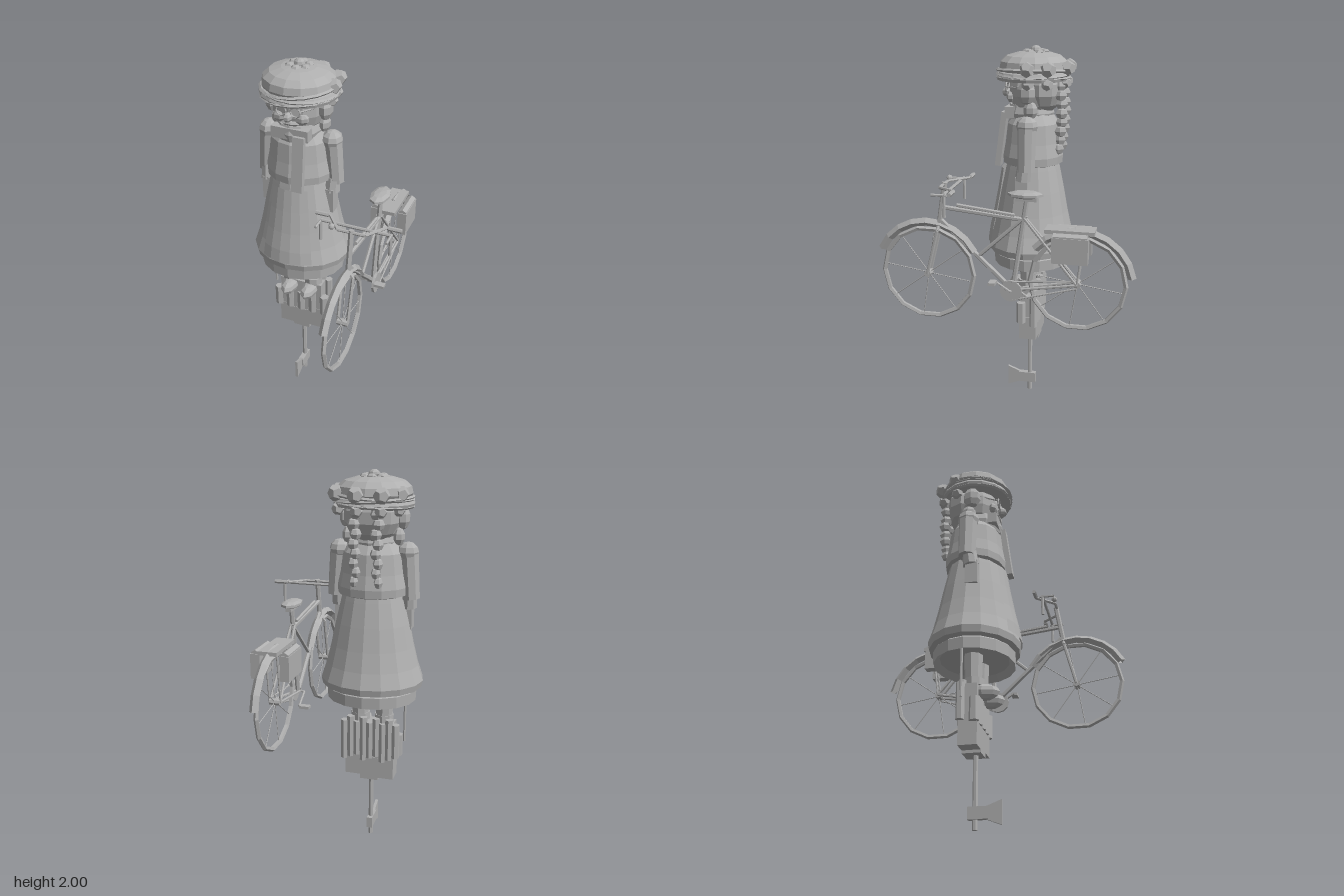
import * as THREE from 'three';

const grey = new THREE.MeshStandardMaterial({ color: 0xb0b0b0, flatShading: true, side: THREE.DoubleSide });
grey.name = 'plain grey';
const V = (p) => new THREE.Vector3(...p);

function add(parent, name, geo, pos = [0, 0, 0], rot = [0, 0, 0], scale = [1, 1, 1]) {
  const m = new THREE.Mesh(geo, grey);
  m.name = name;
  m.position.set(...pos);
  m.rotation.set(...rot);
  m.scale.set(...scale);
  parent.add(m);
  return m;
}
const box = (g, name, size, pos, rot) => add(g, name, new THREE.BoxGeometry(...size), pos, rot);
const ball = (g, name, size, pos, w = 8, h = 6) => add(g, name, new THREE.SphereGeometry(1, w, h), pos, [0, 0, 0], size);

// Straight rod between two points
function rod(g, name, a, b, r0, r1 = r0, sides = 6) {
  const A = V(a), B = V(b), d = B.clone().sub(A);
  const m = add(g, name, new THREE.CylinderGeometry(r1, r0, d.length(), sides), A.clone().add(B).multiplyScalar(0.5).toArray());
  m.quaternion.setFromUnitVectors(new THREE.Vector3(0, 1, 0), d.normalize());
  return m;
}
function rods(g, name, pts, r) {
  for (let i = 1; i < pts.length; i++) rod(g, name, pts[i - 1], pts[i], r);
}
function lathe(g, name, pts, sides = 16, pos = [0, 0, 0], scale = [1, 1, 0.89], start = 0, arc = Math.PI * 2) {
  const geo = new THREE.LatheGeometry(pts.map((p) => new THREE.Vector2(...p)), sides, start, arc);
  return add(g, name, geo, pos, [0, 0, 0], scale);
}

function buildFigure() {
  const g = new THREE.Group();
  g.name = 'figure';
  g.position.set(-0.19, 0, -0.07);

  // Dress and jacket
  lathe(g, 'petticoat', [[0, 0.86], [0.2, 0.86], [0.235, 0.83], [0.238, 0.89], [0.2, 0.92]]);
  lathe(g, 'skirt', [[0.2, 0.9], [0.262, 0.905], [0.27, 0.94], [0.243, 1.02], [0.218, 1.12], [0.193, 1.24], [0.165, 1.36], [0.15, 1.42]]);
  lathe(g, 'apron', [[0.262, 0.95], [0.25, 1.02], [0.225, 1.12], [0.2, 1.24], [0.178, 1.36]], 5, [0, 0, 0.008], [0.95, 1, 0.91], -0.6, 1.2);
  lathe(g, 'jacket', [[0.15, 1.38], [0.18, 1.39], [0.183, 1.43], [0.168, 1.5], [0.155, 1.6], [0.11, 1.66], [0, 1.68]], 14);

  // Legs, boots, arms and hair, mirrored
  for (const s of [-1, 1]) {
    rod(g, 'leg', [s * 0.065, 0.64, 0.01], [s * 0.068, 0.88, 0.01], 0.042, 0.05, 8);
    ball(g, 'boot', [0.045, 0.042, 0.085], [s * 0.06, 0.66, 0.06]);
    rod(g, 'bootCuff', [s * 0.065, 0.69, 0.015], [s * 0.065, 0.73, 0.015], 0.052, 0.052, 8);

    rod(g, 'upperArm', [s * 0.195, 1.37, 0], [s * 0.178, 1.6, 0], 0.046, 0.05, 8);
    ball(g, 'shoulder', [0.055, 0.05, 0.058], [s * 0.175, 1.605, 0]);
    rod(g, 'cuff', [s * 0.182, 1.32, 0.02], [s * 0.185, 1.4, 0.01], 0.042, 0.038, 8);
    box(g, 'hand', [0.055, 0.13, 0.065], [s * 0.175, 1.275, 0.025]);

    ball(g, 'sideHair', [0.035, 0.06, 0.05], [s * 0.145, 1.77, 0.01], 7, 5);
    ball(g, 'sideCurl', [0.03, 0.045, 0.04], [s * 0.13, 1.68, -0.01], 7, 5);
    for (let i = 0; i < 8; i++) {
      ball(g, 'braid', [0.034 - i * 0.0016, 0.03, 0.034], [s * (0.05 + (i % 2) * 0.012), 1.8 - i * 0.047, -0.15 - Math.sin(i * 0.5) * 0.012], 6, 4);
    }
    // Spectacles
    add(g, 'spectacleRim', new THREE.TorusGeometry(0.026, 0.005, 4, 10), [s * 0.038, 1.785, 0.137]);
    rod(g, 'spectacleArm', [s * 0.064, 1.79, 0.135], [s * 0.135, 1.79, 0.03], 0.004);
    ball(g, 'cheek', [0.04, 0.03, 0.025], [s * 0.058, 1.74, 0.108], 7, 5);
  }

  // Head and face
  ball(g, 'head', [0.138, 0.15, 0.132], [0, 1.77, 0], 12, 9);
  ball(g, 'backHair', [0.142, 0.13, 0.11], [0, 1.78, -0.055], 10, 7);
  ball(g, 'nose', [0.022, 0.025, 0.03], [0, 1.755, 0.143], 6, 5);
  ball(g, 'mouth', [0.055, 0.014, 0.02], [0, 1.715, 0.118], 7, 4);

  // Scarf
  lathe(g, 'scarf', [[0.09, 1.61], [0.118, 1.615], [0.128, 1.655], [0.112, 1.7], [0.08, 1.7]], 12, [0, 0, 0.015], [0.95, 1, 1]);
  box(g, 'scarfFold', [0.2, 0.06, 0.05], [0, 1.66, 0.11]);
  box(g, 'scarfEnd', [0.06, 0.29, 0.03], [0.057, 1.515, 0.16], [-0.13, 0, 0]);

  // Hat with plaited brim, button and flowers
  const hat = new THREE.Group();
  hat.name = 'hat';
  hat.position.set(0, 0, 0);
  g.add(hat);
  lathe(hat, 'brim', [[0.1, 1.83], [0.198, 1.825], [0.203, 1.84], [0.19, 1.865], [0.14, 1.885]], 16, [0, 0, 0], [1, 1, 0.97]);
  lathe(hat, 'crown', [[0.17, 1.85], [0.19, 1.885], [0.182, 1.92], [0.15, 1.948], [0.09, 1.965], [0, 1.975]], 14, [0, 0, 0], [1, 1, 0.97]);
  for (const [y, tilt] of [[1.835, 0.05], [1.858, -0.06], [1.872, 0.07]]) {
    add(hat, 'hatCord', new THREE.TorusGeometry(0.192, 0.009, 4, 18), [0, y, 0], [Math.PI / 2, tilt, 0]);
  }
  ball(hat, 'hatButton', [0.03, 0.025, 0.03], [0, 1.975, -0.01]);
  for (let i = 0; i < 6; i++) {
    const a = (i * Math.PI) / 3;
    ball(hat, 'petal', [0.025, 0.014, 0.025], [Math.sin(a) * 0.048, 1.968, Math.cos(a) * 0.048 - 0.01], 6, 4);
  }
  for (const [x, z] of [[-0.15, -0.08], [-0.08, -0.175], [0.045, -0.185], [0.165, -0.105], [0.18, 0.0]]) {
    add(hat, 'flower', new THREE.DodecahedronGeometry(0.042), [x, 1.89, z]);
    add(hat, 'flowerUnder', new THREE.DodecahedronGeometry(0.032), [x * 0.95, 1.815, z * 0.95]);
  }
  return g;
}

function buildWood() {
  // Bundle of firewood with an axe below it
  const g = new THREE.Group();
  g.name = 'firewoodAndAxe';
  g.position.set(-0.19, 0, -0.07);
  for (let i = 0; i < 9; i++) {
    const x = -0.14 + i * 0.035;
    rod(g, 'stick', [x, 0.5 - (i % 3) * 0.015, -0.035], [x, 0.69 + (i % 2) * 0.025, -0.035], 0.022, 0.022, 6);
    if (i % 2 === 0) rod(g, 'frontStick', [x, 0.49, 0.035], [x, 0.61 + (i % 4) * 0.05, 0.035], 0.026, 0.026, 6);
  }
  box(g, 'bundleCore', [0.25, 0.22, 0.09], [0, 0.58, 0]);
  for (const [x, y, w] of [[-0.09, 0.44, 0.085], [0, 0.425, 0.1], [0.09, 0.45, 0.085]]) {
    box(g, 'log', [w, 0.13, 0.095], [x, y, 0]);
  }
  rod(g, 'walkingStick', [-0.185, 0.6, -0.02], [-0.185, 0.9, -0.02], 0.007);
  rod(g, 'axeHandle', [0, 0, 0.01], [0, 0.4, 0.01], 0.013, 0.013, 6);
  box(g, 'axeHead', [0.03, 0.06, 0.1], [0, 0.08, 0.025]);
  const blade = new THREE.Shape([[0.05, 0.055], [0.14, 0.02], [0.14, 0.14], [0.05, 0.105]].map((p) => new THREE.Vector2(...p)));
  add(g, 'axeBlade', new THREE.ExtrudeGeometry(blade, { depth: 0.016, bevelEnabled: false }), [0.008, 0, 0], [0, -Math.PI / 2, 0]);
  return g;
}

function buildBicycle() {
  const g = new THREE.Group();
  g.name = 'bicycle';
  g.position.x = 0.235;
  const turn = [0, -Math.PI / 2, 0], rad = Math.PI / 180;

  // Wheels, spokes and mudguards
  for (const [z, from, to] of [[0.4, 25, 152], [-0.385, 38, 170]]) {
    add(g, 'tyre', new THREE.TorusGeometry(0.244, 0.013, 5, 14), [0, 0.86, z], turn);
    rod(g, 'hub', [-0.028, 0.86, z], [0.028, 0.86, z], 0.018, 0.018, 8);
    for (let i = 0; i < 8; i++) {
      const a = i * Math.PI / 4 + 0.15;
      rod(g, 'spoke', [0, 0.86, z], [0, 0.86 + Math.sin(a) * 0.24, z + Math.cos(a) * 0.24], 0.0025, 0.0025, 4);
    }
    const guard = new THREE.TorusGeometry(0.277, 0.022, 4, 8, (to - from) * rad);
    guard.rotateZ(from * rad);
    add(g, 'mudguard', guard, [0, 0.86, z], turn);
  }

  // Frame
  rods(g, 'steeringTube', [[0, 1.11, 0.338], [0, 1.35, 0.3]], 0.014);
  rods(g, 'topTube', [[0, 1.22, 0.31], [0, 1.18, -0.1]], 0.012);
  rods(g, 'pump', [[0, 1.235, 0.24], [0, 1.2, -0.06]], 0.01);
  rods(g, 'downTube', [[0, 1.15, 0.325], [0, 0.81, -0.04]], 0.014);
  rods(g, 'braceTube', [[0, 0.97, 0.13], [0, 1.2, -0.12]], 0.01);
  rods(g, 'seatTube', [[0, 0.8, -0.05], [0, 1.3, -0.125]], 0.013);
  for (const s of [-1, 1]) {
    rods(g, 'fork', [[0, 1.14, 0.333], [s * 0.028, 1.1, 0.34], [s * 0.026, 0.86, 0.4]], 0.009);
    rods(g, 'seatStay', [[s * 0.01, 1.19, -0.11], [s * 0.028, 0.86, -0.385]], 0.008);
    rods(g, 'chainStay', [[s * 0.01, 0.8, -0.05], [s * 0.028, 0.86, -0.385]], 0.008);
    rods(g, 'rackStay', [[s * 0.03, 1.13, -0.42], [s * 0.03, 0.86, -0.385]], 0.005);

    // Handlebar, grips and brake levers
    rods(g, 'handlebar', [[0, 1.34, 0.305], [s * 0.07, 1.34, 0.305], [s * 0.145, 1.345, 0.21], [s * 0.16, 1.345, 0.21]], 0.008);
    rod(g, 'grip', [s * 0.155, 1.345, 0.21], [s * 0.222, 1.345, 0.21], 0.011);
    rods(g, 'lowerBar', [[0, 1.335, 0.25], [s * 0.18, 1.335, 0.25], [s * 0.18, 1.22, 0.25]], 0.008);
    rod(g, 'barEnd', [s * 0.18, 1.33, 0.235], [s * 0.18, 1.33, 0.315], 0.007);

    // Panniers
    box(g, 'pannier', [0.05, 0.13, 0.18], [s * 0.077, 1.06, -0.355]);
    rod(g, 'pannierLid', [s * 0.077, 1.12, -0.27], [s * 0.077, 1.12, -0.44], 0.025, 0.025, 6);

    // Cranks and pedals
    const y = 0.8 + s * 0.055, z = -0.045 + s * 0.085;
    rods(g, 'crank', [[0, 0.8, -0.045], [s * 0.035, 0.8, -0.045], [s * 0.035, y, z]], 0.007);
    box(g, 'pedal', [0.055, 0.015, 0.035], [s * 0.068, y, z]);
  }
  ball(g, 'bell', [0.016, 0.016, 0.016], [-0.1, 1.35, 0.305]);
  box(g, 'rack', [0.1, 0.02, 0.25], [0, 1.14, -0.345]);
  add(g, 'rackClip', new THREE.ConeGeometry(0.012, 0.07, 4), [0, 1.153, -0.375], [-Math.PI / 2, 0, 0], [1, 1, 0.4]);

  // Saddle
  ball(g, 'saddle', [0.053, 0.02, 0.095], [0, 1.31, -0.115], 8, 5);
  box(g, 'saddleBase', [0.03, 0.025, 0.1], [0, 1.29, -0.125]);

  // Chainwheel and chain
  rod(g, 'chainwheel', [0.012, 0.8, -0.045], [0.026, 0.8, -0.045], 0.058, 0.058, 12);
  rod(g, 'chainTop', [0.022, 0.85, -0.05], [0.022, 0.88, -0.385], 0.005);
  rod(g, 'chainBottom', [0.022, 0.75, -0.05], [0.022, 0.84, -0.385], 0.005);
  return g;
}

export function createModel() {
  const model = new THREE.Group();
  model.name = 'figureWithBicycle';
  model.add(buildFigure(), buildWood(), buildBicycle());
  return model;
}
